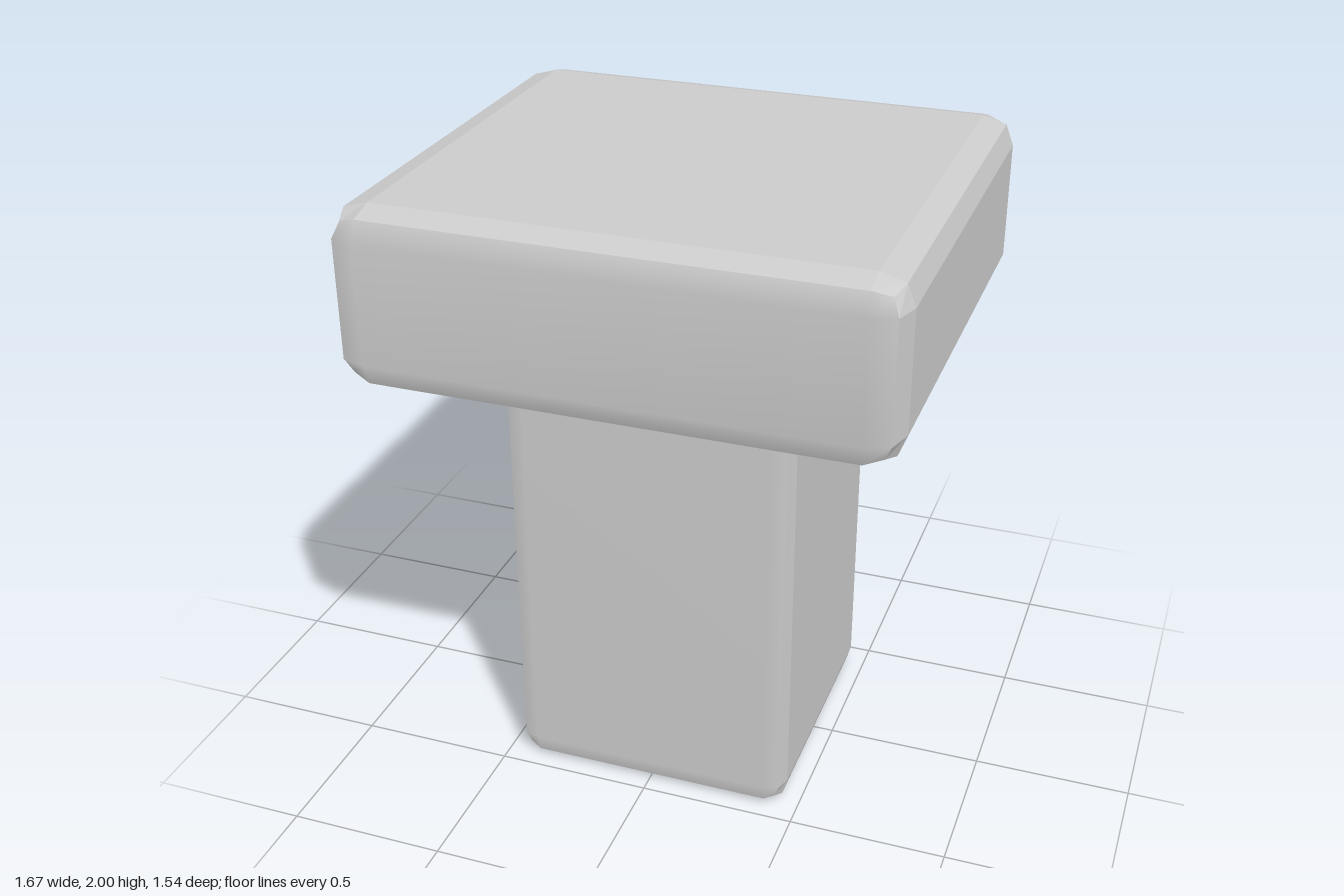
import * as THREE from 'three';

const material = new THREE.MeshStandardMaterial({ color: 0xcccccc });

// Block with softened edges: 3 x 3 grid per side, pulled in at edges and corners.
// The front side is shaded smoothly, the other sides are faceted.
function softBlock(name, size, inset, centerY) {
  const grid = new THREE.BoxGeometry(1, 1, 1, 3, 3, 3);
  const pos = grid.attributes.position;
  const pull = [0, 0, 0.25, 0.444]; // by number of outer coordinates: side, edge, corner
  for (let i = 0; i < pos.count; i++) {
    const p = [pos.getX(i), pos.getY(i), pos.getZ(i)];
    const outer = p.map((c) => Math.abs(c) > 0.4);
    const k = pull[outer.filter(Boolean).length];
    const q = p.map((c, a) => Math.sign(c) * (size[a] / 2 - inset[a] * (outer[a] ? k : 1)));
    pos.setXYZ(i, ...q);
  }
  grid.computeVertexNormals();
  const smooth = grid.toNonIndexed();
  const geometry = smooth.clone();
  geometry.computeVertexNormals();
  // Front (+z) is the fifth side, 54 corners per side
  const from = smooth.attributes.normal;
  for (let i = 4 * 54; i < 5 * 54; i++) {
    geometry.attributes.normal.setXYZ(i, from.getX(i), from.getY(i), from.getZ(i));
  }
  geometry.clearGroups();
  const mesh = new THREE.Mesh(geometry, material);
  mesh.name = name;
  mesh.position.y = centerY;
  return mesh;
}

export function createModel() {
  const group = new THREE.Group();
  group.name = 'post';
  // Wide slab on top
  group.add(softBlock('cap', [1.668, 0.546, 1.544], [0.102, 0.088, 0.108], 1.727));
  // Square column, its upper end sunk into the cap
  group.add(softBlock('stem', [0.914, 1.56, 0.916], [0.065, 0.076, 0.063], 0.78));
  return group;
}
